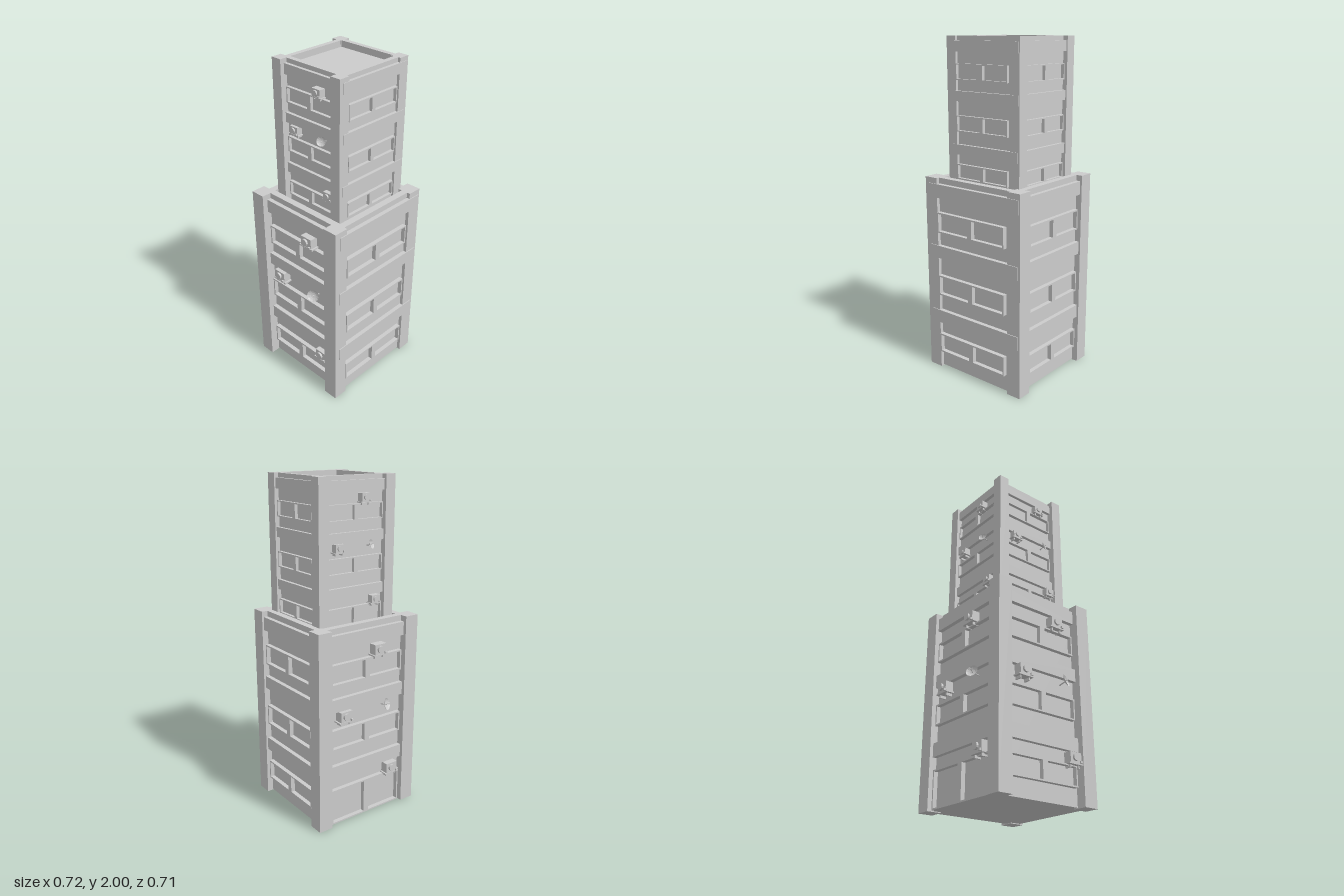
import * as THREE from 'three';

const mat = new THREE.MeshStandardMaterial({ color: 0xcccccc, flatShading: true });
const thin = new THREE.MeshStandardMaterial({ color: 0xcccccc, flatShading: true, side: THREE.DoubleSide });

const HALF = 0.331;   // half width of the floor bands
const WALL = 0.305;   // half width of the recessed walls
const HOLE = 0.264;   // half width of the roof recess
const TOP = 1.2;

function add(parent, name, geometry, x = 0, y = 0, z = 0, material = mat) {
  const mesh = new THREE.Mesh(geometry, material);
  mesh.name = name;
  mesh.position.set(x, y, z);
  parent.add(mesh);
  return mesh;
}

const box = (w, h, d) => new THREE.BoxGeometry(w, h, d);

function rect(Type, x0, y0, x1, y1) {
  const p = new Type();
  p.moveTo(x0, y0);
  p.lineTo(x1, y0);
  p.lineTo(x1, y1);
  p.lineTo(x0, y1);
  p.closePath();
  return p;
}

// Square ring lying flat, from y0 to y1
function ring(parent, name, half, y0, y1) {
  const s = rect(THREE.Shape, -half, -half, half, half);
  s.holes.push(rect(THREE.Path, -HOLE, -HOLE, HOLE, HOLE));
  const g = new THREE.ExtrudeGeometry(s, { depth: y1 - y0, bevelEnabled: false });
  g.rotateX(-Math.PI / 2);
  add(parent, name, g, 0, y0, 0);
}

// Two-pane frame standing out from the wall
function windowFrame(parent, name, cx, w, y0, y1) {
  const b = 0.009, m = 0.017, x0 = cx - w / 2, x1 = cx + w / 2;
  const s = rect(THREE.Shape, x0, y0, x1, y1);
  s.holes.push(rect(THREE.Path, x0 + b, y0 + b, cx - m, y1 - b));
  s.holes.push(rect(THREE.Path, cx + m, y0 + b, x1 - b, y1 - b));
  const g = new THREE.ExtrudeGeometry(s, { depth: HALF - WALL, bevelEnabled: false });
  add(parent, name, g, 0, 0, WALL);
}

// Boxed cooling unit with round fan, side valve and bottom shelf
function coolingUnit(parent, x, y) {
  const g = new THREE.Group();
  g.name = 'coolingUnit';
  g.position.set(x, y, WALL);
  parent.add(g);
  add(g, 'housing', box(0.08, 0.06, 0.05), 0, 0.005, 0.025);
  add(g, 'shelf', box(0.1, 0.008, 0.052), 0, -0.029, 0.026);
  const fan = new THREE.CylinderGeometry(0.021, 0.021, 0.012, 12).rotateX(Math.PI / 2);
  add(g, 'fan', fan, -0.004, 0.006, 0.056);
  add(g, 'valve', box(0.013, 0.013, 0.011), 0.033, -0.018, 0.055);
  for (const sx of [-1, 1]) add(g, 'bracket', box(0.008, 0.02, 0.04), sx * 0.03, -0.04, 0.02);
}

// Small tilted receiver dish on an arm
function dish(parent, x, y) {
  const g = new THREE.Group();
  g.name = 'dish';
  g.position.set(x, y, HALF + 0.022);
  parent.add(g);
  const arm = add(g, 'arm', new THREE.CylinderGeometry(0.004, 0.004, 0.055, 6).rotateX(Math.PI / 2), 0, -0.008, -0.026);
  arm.rotation.x = -0.2;
  const head = new THREE.Group();
  head.name = 'dishHead';
  head.rotation.set(-0.3, 0.48, 0, 'YXZ');
  g.add(head);
  const profile = [[0, 0], [0.016, 0.002], [0.028, 0.007], [0.036, 0.013]].map(p => new THREE.Vector2(...p));
  add(head, 'bowl', new THREE.LatheGeometry(profile, 12).rotateX(Math.PI / 2), 0, 0, -0.006, thin);
  add(head, 'feed', new THREE.CylinderGeometry(0.002, 0.002, 0.028, 5).rotateX(Math.PI / 2), 0, 0, 0.008);
}

// One wall face: local x runs to the viewer's right, z outward
function facade(parent, name, angle, cx, w, doors, fittings) {
  const g = new THREE.Group();
  g.name = name;
  g.rotation.y = angle;
  parent.add(g);
  windowFrame(g, doors ? 'doorFrame' : 'windowFrame', cx, w, doors ? 0.005 : 0.105, 0.225);
  windowFrame(g, 'windowFrame', cx, w, 0.48, 0.605);
  windowFrame(g, 'windowFrame', cx, w, 0.873, 0.997);
  if (fittings) {
    coolingUnit(g, 0.085, 1.035);
    coolingUnit(g, -0.155, 0.68);
    coolingUnit(g, 0.19, 0.255);
    dish(g, 0.135, 0.69);
  }
}

function towerBlock(name) {
  const g = new THREE.Group();
  g.name = name;
  // Walls and sunken roof
  add(g, 'walls', box(WALL * 2, 1.145, WALL * 2), 0, 0.5775, 0);
  // Floor bands and parapet
  for (const [y0, y1] of [[0.3, 0.38], [0.715, 0.792]])
    add(g, 'floorBand', box(HALF * 2, y1 - y0, HALF * 2), 0, (y0 + y1) / 2, 0);
  ring(g, 'topBand', HALF, 1.085, 1.166);
  ring(g, 'parapet', WALL, 1.14, TOP);
  // Corner posts
  for (const x of [-0.3195, 0.298])
    for (const z of [-0.3055, 0.281])
      add(g, 'cornerPost', box(0.089, TOP, 0.09), x, TOP / 2, z);
  // Four faces
  facade(g, 'frontFace', 0, -0.022, 0.505, false, false);
  facade(g, 'sideFace', Math.PI / 2, 0.01, 0.465, false, false);
  facade(g, 'backFace', Math.PI, 0.01, 0.505, true, true);
  facade(g, 'fittedSideFace', -Math.PI / 2, -0.012, 0.465, false, true);
  return g;
}

export function createModel() {
  const model = new THREE.Group();
  model.name = 'tower';

  const lower = towerBlock('lowerBlock');
  lower.position.set(0.02, 0, 0.023);
  model.add(lower);

  // The upper block repeats the lower one at a smaller scale
  const upper = towerBlock('upperBlock');
  const s = 0.734;
  upper.scale.setScalar(s);
  upper.position.set(0.038, 2 - TOP * s, 0.026);
  model.add(upper);

  return model;
}
